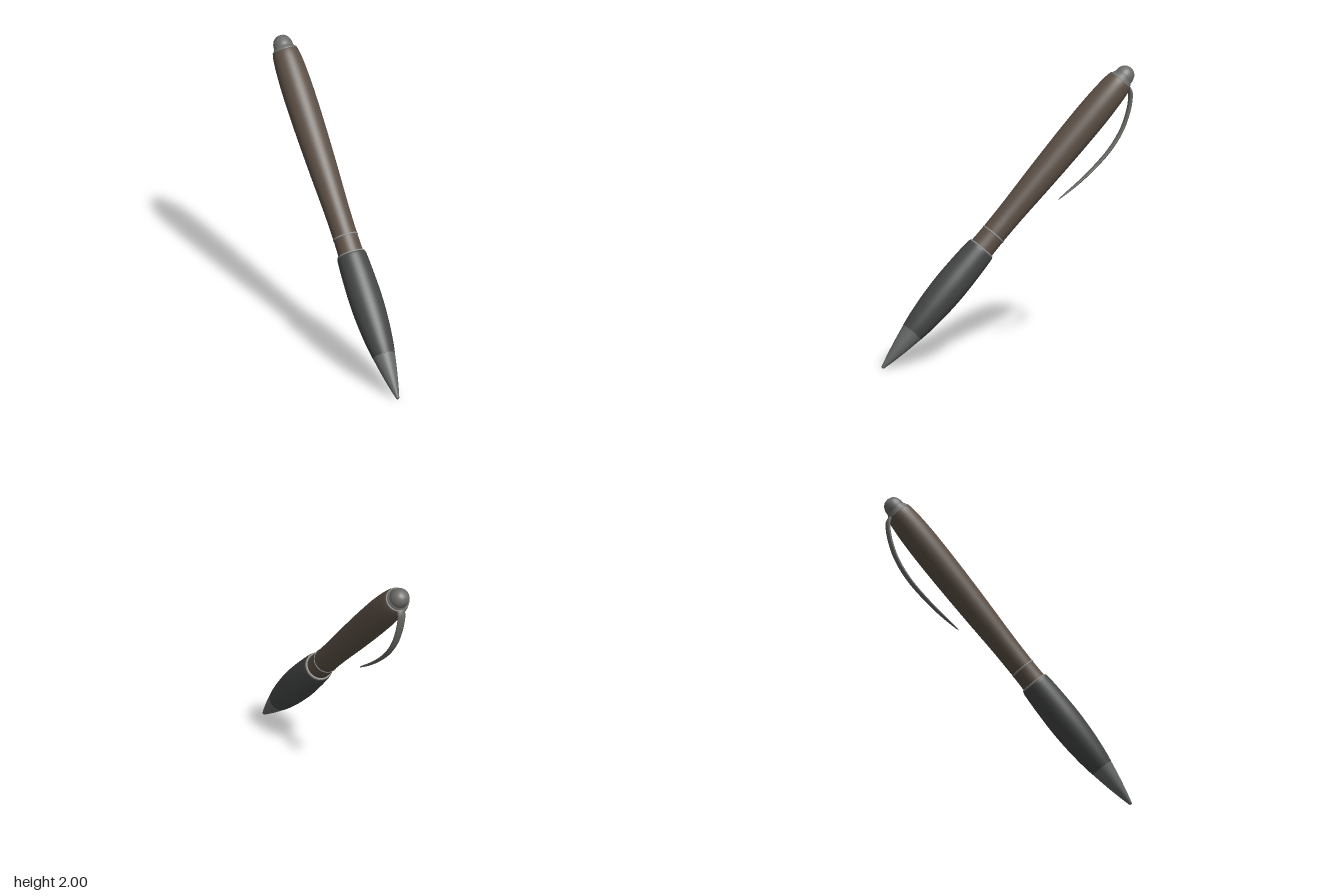
import * as THREE from 'three';

const V2 = (x, y) => new THREE.Vector2(x, y);

// Turned part: smooth profile of [distance from tip, radius], with optional flat end faces
function turned(name, color, stations, startRadius, endRadius) {
  const curve = new THREE.SplineCurve(stations.map(([s, r]) => V2(r, s)));
  const group = new THREE.Group();
  group.name = name;
  const material = new THREE.MeshStandardMaterial({ color });
  const add = (pts, label) => {
    const mesh = new THREE.Mesh(new THREE.LatheGeometry(pts, 48), material);
    mesh.name = label;
    group.add(mesh);
  };
  const pts = curve.getPoints(stations.length * 6);
  pts.forEach((p) => { p.x = Math.max(p.x, 0); });
  add(pts, name + 'Surface');
  const first = stations[0], last = stations[stations.length - 1];
  if (startRadius !== undefined) add([V2(startRadius, first[0]), V2(first[1], first[0])], name + 'LowerFace');
  if (endRadius !== undefined) add([V2(last[1], last[0]), V2(endRadius, last[0])], name + 'UpperFace');
  return group;
}

// Thin trim ring around the barrel
function ring(name, s, radius, color) {
  const geometry = new THREE.TorusGeometry(radius, 0.007, 10, 48).rotateX(Math.PI / 2).translate(0, s, 0);
  const mesh = new THREE.Mesh(geometry, new THREE.MeshStandardMaterial({ color }));
  mesh.name = name;
  return mesh;
}

// Bowed clip: a flattened tube, narrowing to the free end
function clip() {
  const path = new THREE.CatmullRomCurve3([
    [0.05, 2.575], [0.105, 2.56], [0.15, 2.51], [0.195, 2.43], [0.237, 2.32],
    [0.262, 2.15], [0.247, 1.9], [0.205, 1.665],
  ].map(([x, y]) => new THREE.Vector3(x, y, 0)));
  const rows = 60, sides = 16;
  const geometry = new THREE.TubeGeometry(path, rows, 0.015, sides);
  const pos = geometry.attributes.position;
  const p = new THREE.Vector3();
  for (let i = 0; i < pos.count; i++) {
    const t = Math.floor(i / (sides + 1)) / rows;
    const c = path.getPointAt(t);
    const taper = Math.sqrt(Math.max(0, 1 - t ** 6)) * (1 - 0.3 * t);
    p.fromBufferAttribute(pos, i).sub(c).multiplyScalar(taper);
    p.z *= 2;
    p.add(c);
    pos.setXYZ(i, p.x, p.y, p.z);
  }
  geometry.computeVertexNormals();
  const mesh = new THREE.Mesh(geometry, new THREE.MeshStandardMaterial({ color: 0x686864, side: THREE.DoubleSide }));
  mesh.name = 'clip';
  return mesh;
}

export function createModel() {
  const model = new THREE.Group();
  model.name = 'pen';

  // Built upright along y with the writing tip at the origin, clip towards +x
  const pen = new THREE.Group();
  pen.name = 'tiltedPen';
  pen.add(
    turned('writingTip', 0x666868, [[-0.014, 0], [-0.01, 0.009], [0.004, 0.014], [0.08, 0.033], [0.19, 0.057], [0.31, 0.079]]),
    turned('grip', 0x454746, [[0.31, 0.08], [0.4, 0.094], [0.55, 0.109], [0.72, 0.116], [0.9, 0.112], [1.03, 0.105], [1.055, 0.1]], 0.07, 0.08),
    turned('collar', 0x5c5046, [[1.05, 0.089], [1.12, 0.087], [1.19, 0.086]]),
    turned('barrel', 0x5c5046, [[1.19, 0.086], [1.4, 0.089], [1.7, 0.1], [2.0, 0.108], [2.25, 0.11], [2.42, 0.105], [2.53, 0.096], [2.575, 0.086]], undefined, 0.05),
    turned('endCap', 0x6c6c6a, [[2.56, 0.083], [2.585, 0.078], [2.6, 0.07], [2.63, 0.066], [2.66, 0.053], [2.68, 0.03], [2.687, 0]]),
    ring('gripRing', 1.06, 0.092, 0x8a8a88),
    ring('barrelRing', 1.19, 0.083, 0x8a8a88),
    ring('capRing', 2.573, 0.081, 0x7a7a78),
    clip(),
  );

  // Lean the pen from its tip to its cap, with the clip hanging underneath
  const tip = new THREE.Vector3(0.87, 0.012, 0.325);
  const axis = new THREE.Vector3(-0.815, 1.935, -0.255).sub(tip).normalize();
  const under = new THREE.Vector3(-0.667, -0.672, -0.328);
  under.addScaledVector(axis, -under.dot(axis)).normalize();
  const across = new THREE.Vector3().crossVectors(under, axis);
  pen.quaternion.setFromRotationMatrix(new THREE.Matrix4().makeBasis(under, axis, across));
  pen.position.copy(tip);
  model.add(pen);
  return model;
}
